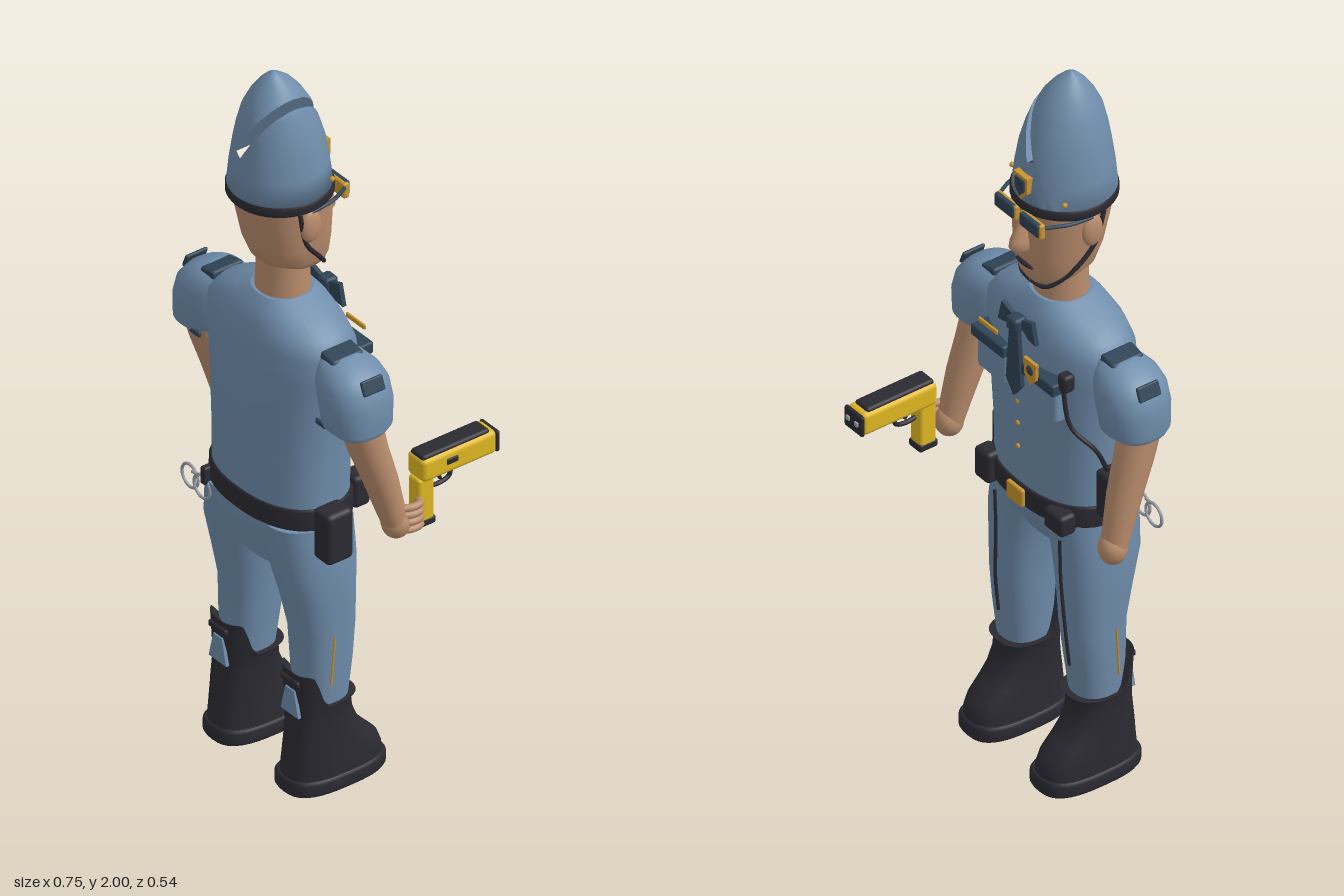
import * as THREE from 'three';
import { mergeVertices } from 'three/addons/utils/BufferGeometryUtils.js';
import { RoundedBoxGeometry } from 'three/addons/geometries/RoundedBoxGeometry.js';

const mat = (name, color) => Object.assign(new THREE.MeshStandardMaterial({ color }), { name });

// Closed body from rings [y, x0, x1, z0, z1]; p is the squareness of the section.
function loft(rings, p = 2.3, n = 40) {
  const pos = [], idx = [];
  const pw = (v) => Math.sign(v) * Math.abs(v) ** (2 / p);
  const addRing = ([y, x0, x1, z0, z1]) => {
    const start = pos.length / 3;
    for (let j = 0; j < n; j++) {
      const a = (j / n) * Math.PI * 2;
      pos.push((x0 + x1) / 2 + (x1 - x0) / 2 * pw(Math.cos(a)), y, (z0 + z1) / 2 + (z1 - z0) / 2 * pw(Math.sin(a)));
    }
    return start;
  };
  const starts = rings.map(addRing);
  for (let i = 0; i < rings.length - 1; i++) for (let j = 0; j < n; j++) {
    const a = starts[i] + j, b = starts[i] + (j + 1) % n, c = starts[i + 1] + j, d = starts[i + 1] + (j + 1) % n;
    idx.push(a, c, b, b, c, d);
  }
  [rings[0], rings[rings.length - 1]].forEach((r, top) => {
    const s = addRing(r), c = pos.length / 3;
    pos.push((r[1] + r[2]) / 2, r[0], (r[3] + r[4]) / 2);
    for (let j = 0; j < n; j++) {
      const a = s + j, b = s + (j + 1) % n;
      idx.push(c, top ? b : a, top ? a : b);
    }
  });
  const g = new THREE.BufferGeometry();
  g.setAttribute('position', new THREE.Float32BufferAttribute(pos, 3));
  g.setIndex(idx);
  g.computeVertexNormals();
  return g;
}
// Rings symmetric in x: [y, halfWidth, z0, z1]
const sym = (rings) => rings.map(([y, w, z0, z1]) => [y, -w, w, z0, z1]);

// Keeps the part of a polygon where f >= 0
function clip(poly, f) {
  const out = [];
  poly.forEach((a, i) => {
    const b = poly[(i + 1) % poly.length], fa = f(a), fb = f(b);
    if (fa >= 0) out.push(a);
    if (fa * fb < 0) out.push(a.clone().lerp(b, fa / (fa - fb)));
  });
  return out;
}

export function createModel() {
  const blue = mat('uniform blue', 0x6f8dab), navy = mat('navy trim', 0x2f4456), black = mat('black leather', 0x2b2a32);
  const skin = mat('skin', 0xba8d6d), yellow = mat('yellow', 0xe0b822), gold = mat('gold', 0xc8952f), steel = mat('steel', 0x9a9fa6);
  const root = new THREE.Group();
  const add = (name, geo, m, x = 0, y = 0, z = 0) => {
    const mesh = new THREE.Mesh(geo, m);
    mesh.name = name;
    mesh.position.set(x, y, z);
    root.add(mesh);
    return mesh;
  };
  const box = (name, m, x, y, z, w, h, d, r = 0.006) =>
    add(name, new RoundedBoxGeometry(w, h, d, 2, Math.min(r, w / 2.1, h / 2.1, d / 2.1)), m, x, y, z);
  const ball = (name, m, x, y, z, sx, sy, sz) => {
    const b = add(name, new THREE.SphereGeometry(1, 20, 14), m, x, y, z);
    b.scale.set(sx, sy, sz);
    return b;
  };
  const tube = (name, m, pts, r) =>
    add(name, new THREE.TubeGeometry(new THREE.CatmullRomCurve3(pts.map((p) => new THREE.Vector3(...p))), 24, r, 8), m);
  const plate = (name, m, pts, z, d = 0.009) =>
    add(name, new THREE.ExtrudeGeometry(new THREE.Shape(pts.map((p) => new THREE.Vector2(...p))), { depth: d, bevelEnabled: false }), m, 0, 0, z);

  // Torso, hips, neck, head
  add('torso', loft(sym([[0.8, 0.2, 0, 0.262], [0.95, 0.2, -0.005, 0.265], [1.1, 0.21, -0.01, 0.265], [1.2, 0.225, -0.01, 0.262],
    [1.27, 0.235, 0.003, 0.25], [1.31, 0.2, 0.015, 0.24], [1.345, 0.13, 0.03, 0.222], [1.37, 0.075, 0.05, 0.2]])), blue);
  add('hips', loft(sym([[0.66, 0.12, 0.05, 0.22], [0.7, 0.19, 0.025, 0.24], [0.76, 0.205, 0.008, 0.255], [0.82, 0.2, 0, 0.26]])), blue);
  add('shirtTail', loft(sym([[0.65, 0.11, 0.16, 0.245], [0.72, 0.12, 0.16, 0.262], [0.79, 0.13, 0.16, 0.262]]), 4), blue);
  add('neck', loft(sym([[1.34, 0.073, 0.055, 0.195], [1.41, 0.07, 0.06, 0.19], [1.5, 0.07, 0.06, 0.19]]), 2), skin);
  add('head', loft(sym([[1.428, 0.045, 0.03, 0.1], [1.445, 0.075, 0.02, 0.16], [1.47, 0.092, 0.014, 0.2], [1.52, 0.103, 0.01, 0.22],
    [1.6, 0.115, 0.01, 0.236], [1.67, 0.12, 0.01, 0.25]]), 2.4), skin);
  add('nose', loft(sym([[1.53, 0.016, -0.02, 0.04], [1.545, 0.024, -0.032, 0.04], [1.565, 0.021, -0.03, 0.04], [1.6, 0.013, -0.012, 0.04], [1.64, 0.01, 0.002, 0.04]]), 2, 20), skin);
  ball('mouth', black, 0, 1.485, 0.014, 0.034, 0.007, 0.01);

  // Helmet shell with a slanted slot cut right through
  const hr = sym([[1.67, 0.13, 0.004, 0.266], [1.74, 0.122, 0.012, 0.26], [1.8, 0.112, 0.022, 0.252], [1.85, 0.1, 0.037, 0.244], [1.9, 0.083, 0.056, 0.233],
    [1.94, 0.062, 0.08, 0.214], [1.97, 0.04, 0.106, 0.193], [1.99, 0.02, 0.132, 0.174], [2, 0.003, 0.151, 0.157]]);
  const across = (v) => 0.877 * (v.x + 0.012) - 0.48 * (v.y - 1.79);
  const along = (v) => 0.48 * (v.x + 0.012) + 0.877 * (v.y - 1.79);
  const half = 0.011, shell = loft(hr, 2, 64).toNonIndexed(), sp = shell.attributes.position, cut = [];
  for (let i = 0; i < sp.count; i += 3) {
    const tri = [0, 1, 2].map((k) => new THREE.Vector3().fromBufferAttribute(sp, i + k));
    const mid = clip(clip(tri, (v) => half - across(v)), (v) => half + across(v));
    for (const poly of [clip(tri, (v) => across(v) - half), clip(tri, (v) => -half - across(v)), clip(mid, (v) => -along(v))])
      for (let k = 1; k < poly.length - 1; k++) for (const v of [poly[0], poly[k], poly[k + 1]]) cut.push(v.x, v.y, v.z);
  }
  const helmet = new THREE.BufferGeometry();
  helmet.setAttribute('position', new THREE.Float32BufferAttribute(cut, 3));
  const smoothHelmet = mergeVertices(helmet, 1e-5);
  smoothHelmet.computeVertexNormals();
  add('helmet', smoothHelmet, blue);
  // Walls of the slot
  const wallBlue = mat('slot blue', 0x6f8dab);
  wallBlue.side = THREE.DoubleSide;
  for (const s of [-1, 1]) {
    const wall = new THREE.PlaneGeometry(1, 1, 1, 24), wp = wall.attributes.position;
    for (let i = 0; i < wp.count; i++) {
      const t = (wp.getY(i) + 0.5) * 0.2, x = -0.012 + 0.48 * t + 0.877 * half * s, y = 1.79 + 0.877 * t - 0.48 * half * s;
      const k = Math.max(0, hr.findIndex((r) => r[0] > y) - 1), f = (y - hr[k][0]) / (hr[k + 1][0] - hr[k][0]);
      const [, , rx, z0, z1] = hr[k].map((v, q) => v + (hr[k + 1][q] - v) * f);
      const dz = (z1 - z0) / 2 * Math.sqrt(Math.max(0, 1 - (x / rx) ** 2));
      wp.setXYZ(i, Math.min(x, rx), y, (z0 + z1) / 2 + Math.sign(wp.getX(i)) * dz);
    }
    wall.computeVertexNormals();
    add('helmetSlotWall', wall, wallBlue);
  }
  add('helmetBand', loft(sym([[1.648, 0.127, 0.006, 0.262], [1.655, 0.133, 0, 0.268], [1.672, 0.133, 0, 0.268], [1.678, 0.129, 0.004, 0.266]]), 2, 48), black);
  plate('helmetBadge', gold, [[-0.027, 1.755], [0.027, 1.755], [0.027, 1.71], [0, 1.682], [-0.027, 1.71]], 0, 0.02);
  plate('helmetBadgeCentre', navy, [[-0.018, 1.746], [0.018, 1.746], [0.018, 1.714], [0, 1.695], [-0.018, 1.714]], -0.004, 0.006);

  // Collar, tie, shirt front
  plate('tie', navy, [[-0.016, 1.305], [0.016, 1.305], [0.03, 1.14], [0, 1.1], [-0.03, 1.14]], -0.022, 0.012);
  box('tieKnot', navy, 0, 1.315, -0.012, 0.042, 0.04, 0.04, 0.01);
  for (const y of [1.075, 1.01, 0.94]) ball('button', gold, 0, y, -0.008, 0.007, 0.007, 0.005);
  box('namePlate', gold, 0.1, 1.25, -0.022, 0.075, 0.014, 0.008);
  plate('chestBadge', gold, [[-0.115, 1.262], [-0.065, 1.262], [-0.068, 1.215], [-0.09, 1.19], [-0.112, 1.215]], -0.04);
  ball('chestBadgeCentre', navy, -0.09, 1.235, -0.04, 0.013, 0.014, 0.004);

  // Belt and what hangs on it
  add('belt', loft(sym([[0.77, 0.205, -0.006, 0.266], [0.775, 0.209, -0.01, 0.27], [0.825, 0.207, -0.01, 0.27], [0.83, 0.203, -0.006, 0.266]])), black);
  box('buckle', gold, 0, 0.8, -0.014, 0.065, 0.052, 0.014);
  box('beltPouch', black, 0.14, 0.8, 0.01, 0.06, 0.09, 0.05, 0.012);
  box('beltPouch', black, -0.145, 0.795, 0.01, 0.075, 0.06, 0.05, 0.012);
  box('holster', black, 0.233, 0.773, 0.15, 0.066, 0.145, 0.08, 0.014);
  box('radio', black, -0.237, 0.888, 0.1, 0.066, 0.135, 0.06, 0.012);
  box('radioMicrophone', black, -0.17, 1.225, 0.01, 0.034, 0.05, 0.035, 0.01);
  tube('radioCable', black, [[-0.17, 1.21, 0.0], [-0.19, 1.1, 0.01], [-0.235, 1.04, 0.05], [-0.225, 0.94, 0.1]], 0.006);
  for (const x of [-0.21, -0.155]) add('handcuff', new THREE.TorusGeometry(0.032, 0.004, 8, 28), steel, x, 0.742, 0.25 + (x + 0.18) * 0.1);
  box('handcuffLink', steel, -0.183, 0.765, 0.252, 0.03, 0.008, 0.008);
  box('handcuffLoop', black, -0.14, 0.785, 0.25, 0.02, 0.05, 0.03);

  // Mirrored parts
  for (const s of [1, -1]) {
    const side = (rings) => rings.map(([y, a, b, z0, z1]) => (s > 0 ? [y, a, b, z0, z1] : [y, -b, -a, z0, z1]));
    // Face
    ball('ear', skin, s * 0.117, 1.6, 0.13, 0.015, 0.046, 0.03);
    box('glassesRim', gold, s * 0.05, 1.634, -0.001, 0.084, 0.044, 0.018);
    box('glassesLens', navy, s * 0.05, 1.638, -0.007, 0.076, 0.038, 0.016);
    tube('glassesArm', navy, [[s * 0.09, 1.645, 0.005], [s * 0.115, 1.645, 0.06], [s * 0.12, 1.64, 0.13]], 0.005);
    tube('chinStrap', black, [[s * 0.12, 1.65, 0.165], [s * 0.112, 1.55, 0.14], [s * 0.095, 1.48, 0.085], [s * 0.05, 1.428, 0.04], [0, 1.424, 0.032]], 0.006);
    ball('helmetStud', gold, s * 0.105, 1.7, 0.055, 0.007, 0.007, 0.007);

    // Sleeve and arm
    add('sleeve', loft(side([[1.11, 0.25, 0.368, 0.06, 0.195], [1.125, 0.215, 0.375, 0.04, 0.21], [1.19, 0.2, 0.374, 0.034, 0.215],
      [1.235, 0.19, 0.362, 0.037, 0.212], [1.265, 0.19, 0.338, 0.05, 0.2], [1.285, 0.19, 0.305, 0.07, 0.18], [1.295, 0.2, 0.27, 0.095, 0.155]])), blue);
    add('arm', loft(side([[0.8, 0.292, 0.362, 0.002, 0.065], [0.86, 0.286, 0.364, 0.012, 0.088], [0.95, 0.274, 0.366, 0.03, 0.12],
      [1.04, 0.264, 0.366, 0.055, 0.155], [1.13, 0.26, 0.364, 0.075, 0.185]]), 2), skin);
    ball('hand', skin, s * 0.328, 0.808, 0.032, 0.038, 0.044, 0.037);
    box('epaulette', navy, s * 0.238, 1.287, 0.128, 0.054, 0.026, 0.095, 0.008).rotation.z = -s * 0.2;
    box('shoulderPatch', navy, s * 0.353, 1.255, 0.122, 0.01, 0.04, 0.066).rotation.z = s * 0.4;
    box('cuffTab', navy, s * 0.25, 1.122, 0.2, 0.04, 0.016, 0.01);

    // Collar wing, pocket
    plate('collarWing', navy, [[0, 1.325], [s * 0.06, 1.345], [s * 0.075, 1.285], [s * 0.045, 1.29]], -0.012, 0.012).material = navy;
    if (s < 0) root.children[root.children.length - 1].name = 'collarWingRight';
    box('pocket', blue, s * 0.1, 1.145, 0.005, 0.115, 0.1, 0.04, 0.012);
    box('pocketFlap', navy, s * 0.1, 1.205, 0, 0.13, 0.034, 0.055);

    // Leg
    add('leg', loft(side([[0.18, 0.09, 0.2, 0.062, 0.185], [0.35, 0.072, 0.212, 0.042, 0.192], [0.45, 0.064, 0.213, 0.032, 0.196],
      [0.55, 0.054, 0.216, 0.028, 0.218], [0.65, 0.035, 0.22, 0.024, 0.243], [0.77, 0.004, 0.204, 0.02, 0.255]])), blue);
    tube('trouserCrease', black, [[s * 0.13, 0.72, 0.022], [s * 0.13, 0.6, 0.025], [s * 0.14, 0.45, 0.031], [s * 0.142, 0.34, 0.042]], 0.005);
    tube('trouserPiping', gold, [[s * 0.214, 0.45, 0.13], [s * 0.213, 0.38, 0.135], [s * 0.212, 0.31, 0.14]], 0.003);

    // Boot, with the shaft rising at the back
    const boot = loft(side([[0.03, 0.07, 0.217, -0.048, 0.228], [0.06, 0.072, 0.217, -0.046, 0.226], [0.09, 0.075, 0.215, -0.034, 0.223], [0.125, 0.078, 0.213, 0, 0.219],
      [0.155, 0.08, 0.212, 0.026, 0.215], [0.2, 0.08, 0.21, 0.045, 0.21], [0.24, 0.077, 0.211, 0.05, 0.208], [0.345, 0.069, 0.216, 0.036, 0.214]]), 2.6);
    const bp = boot.attributes.position;
    for (let i = 0; i < bp.count; i++) if (bp.getY(i) > 0.3) {
      const rise = THREE.MathUtils.smoothstep(bp.getZ(i), 0.15, 0.19);
      bp.setY(i, 0.25 + 0.095 * rise);
    }
    boot.computeVertexNormals();
    add('boot', boot, black);
    add('sole', loft(side([[0, 0.064, 0.22, -0.052, 0.232], [0.008, 0.06, 0.225, -0.056, 0.236], [0.035, 0.06, 0.225, -0.056, 0.236], [0.042, 0.066, 0.219, -0.05, 0.23]]), 2.8), black);
    const c = s * 0.143;
    plate('bootNotch', blue, [[c - 0.035, 0.222], [c + 0.035, 0.222], [c + 0.017, 0.295], [c - 0.017, 0.295]], 0.206);
    box('bootStrap', black, c, 0.318, 0.213, 0.07, 0.018, 0.012);
  }

  // Stun pistol held in the hand
  box('pistolBody', yellow, 0.323, 0.937, -0.144, 0.07, 0.066, 0.228, 0.014);
  box('pistolTop', black, 0.323, 0.968, -0.138, 0.054, 0.02, 0.205, 0.008);
  box('pistolMuzzle', black, 0.323, 0.937, -0.259, 0.072, 0.06, 0.012);
  for (const x of [0.306, 0.34]) box('electrode', steel, x, 0.94, -0.267, 0.014, 0.014, 0.007);
  box('pistolGrip', yellow, 0.323, 0.845, -0.05, 0.045, 0.13, 0.05, 0.01);
  box('gripBase', black, 0.323, 0.78, -0.05, 0.048, 0.022, 0.056);
  box('sideSwitch', black, 0.359, 0.942, -0.118, 0.006, 0.016, 0.034);
  tube('triggerGuard', black, [[0.323, 0.905, -0.14], [0.323, 0.872, -0.135], [0.323, 0.862, -0.105], [0.323, 0.866, -0.07]], 0.006);
  tube('trigger', black, [[0.323, 0.905, -0.095], [0.323, 0.888, -0.1], [0.323, 0.875, -0.108]], 0.005);
  for (let i = 0; i < 4; i++) {
    const y = 0.852 - i * 0.021;
    tube('finger', skin, [[0.345, y, 0.03], [0.356, y, 0.0], [0.352, y, -0.025], [0.335, y, -0.03]], 0.01);
  }
  return root;
}
